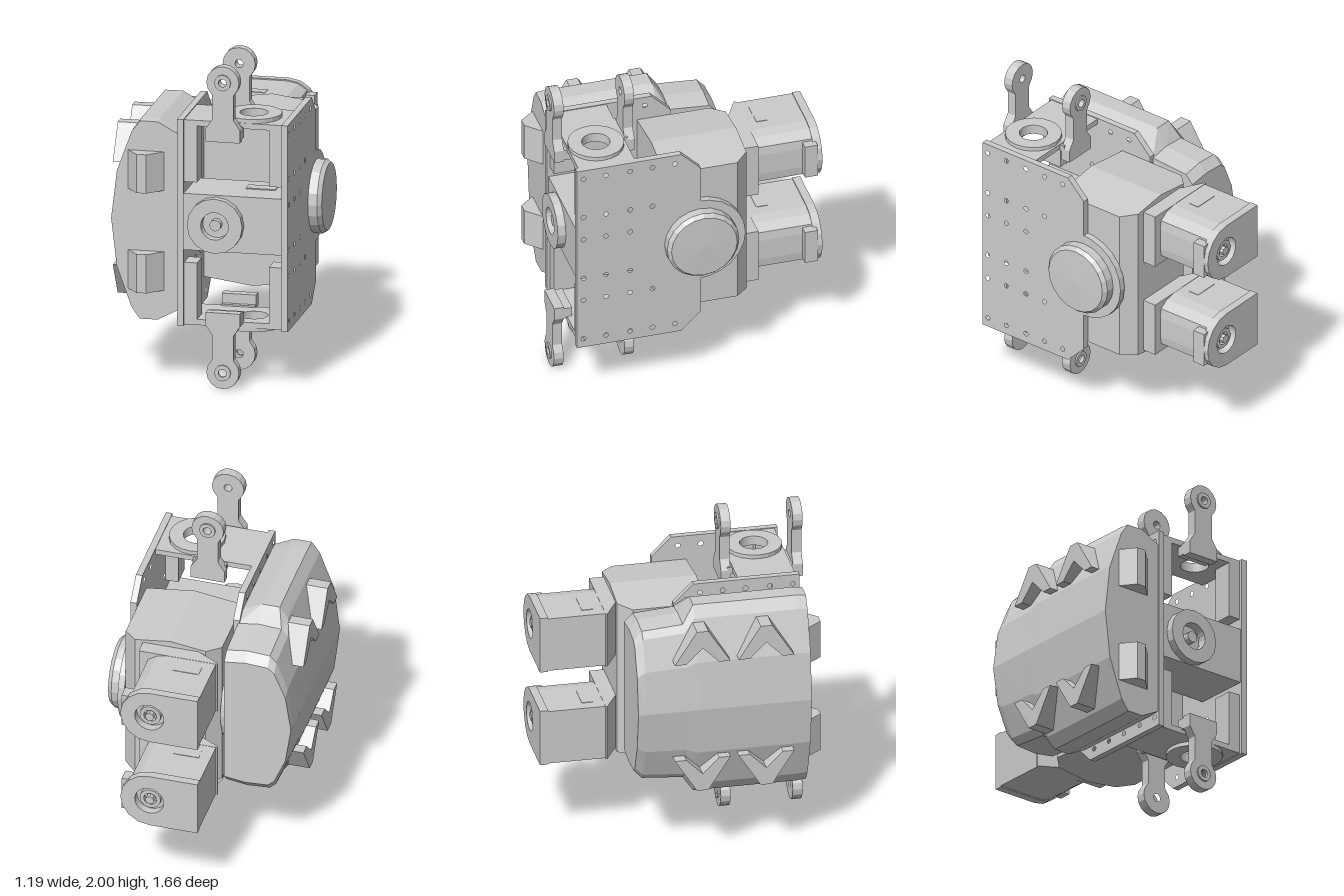
import * as THREE from 'three';

const mat = new THREE.MeshStandardMaterial({ color: 0xcccccc, flatShading: true });
const C = 1; // mid height, the mirror plane of most parts

function add(parent, name, geometry, x = 0, y = 0, z = 0) {
  const m = new THREE.Mesh(geometry, mat);
  m.name = name;
  m.position.set(x, y, z);
  parent.add(m);
  return m;
}

// Box from its limits
function box(parent, name, x0, x1, y0, y1, z0, z1) {
  return add(parent, name, new THREE.BoxGeometry(x1 - x0, y1 - y0, z1 - z0),
    (x0 + x1) / 2, (y0 + y1) / 2, (z0 + z1) / 2);
}

// Extrusion of an outline with round holes [u, v, radius]
function extrude(points, depth, holes = [], sides = 3) {
  const shape = new THREE.Shape(points.map(p => new THREE.Vector2(...p)));
  for (const [u, v, r] of holes) {
    shape.holes.push(new THREE.Path().absarc(u, v, r, 0, Math.PI * 2, true));
  }
  return new THREE.ExtrudeGeometry(shape, { depth, bevelEnabled: false, curveSegments: sides });
}
// Outline in (z, y), thickness from x0 to x1
function extrudeX(points, x0, x1, holes = [], sides = 8) {
  return extrude(points.map(([z, y]) => [-z, y]), x1 - x0, holes.map(([z, y, r]) => [-z, y, r]), sides)
    .rotateY(Math.PI / 2).translate(x0, 0, 0);
}
// Outline in (x, z), thickness from y0 to y1
function extrudeY(points, y0, y1, holes = [], sides = 16) {
  return extrude(points, y1 - y0, holes, sides).rotateX(Math.PI / 2).translate(0, y1, 0);
}
// Outline in (x, y), thickness from z0 to z1
function extrudeZ(points, z0, z1, holes = [], sides = 16) {
  return extrude(points, z1 - z0, holes, sides).translate(0, 0, z0);
}
const arc = (cx, cy, r, a0, a1, n) => Array.from({ length: n + 1 }, (_, i) => {
  const a = a0 + (a1 - a0) * i / n;
  return [cx + r * Math.cos(a), cy + r * Math.sin(a)];
});
const mirrorY = pts => pts.concat([...pts].reverse().filter(p => p[1] !== C).map(([a, b]) => [a, 2 * C - b]));
// Flat ring facing z
const ringZ = (r, hole, z0, z1, n = 16) => extrudeZ(arc(0, 0, r, 0, Math.PI * 2 * (n - 1) / n, n - 1), z0, z1, [[0, 0, hole]], 10);

// Perforated side plates with a rounded rear lobe
function sidePlates(g) {
  const outline = mirrorY([
    [0.75, 1.64], [0.10, 1.64], [-0.02, 1.52], [-0.02, 1.28],
    ...arc(-0.02, C, 0.28, Math.PI * 0.56, Math.PI, 5).map(([a, b], i) => [a, i === 5 ? C : b])]);
  const holes = [];
  const columns = [0.71, 0.57, 0.42, 0.28, 0.14];
  [[0.58, 5], [0.30, 4], [0.14, 3]].forEach(([dy, n]) => {
    for (const s of [-1, 1]) for (const z of columns.slice(0, n)) holes.push([z, C + s * dy, 0.015]);
  });
  add(g, 'leftSidePlate', extrudeX(outline, 0.46, 0.50, holes));
  add(g, 'rightSidePlate', extrudeX(outline, -0.18, -0.14, holes));
  const cap = new THREE.LatheGeometry([[0, -0.02], [0.225, -0.02], [0.225, 0.06], [0.205, 0.085], [0, 0.092]]
    .map(p => new THREE.Vector2(...p)), 20).rotateZ(-Math.PI / 2);
  add(g, 'pivotCap', cap, 0.495, C, -0.02);
}

// Central housing, two halves whose top and bottom slope away from a ridge
function housing(g) {
  for (const s of [-1, 1]) {
    const pts = [[0, 0.19], [0.30, 0.19], [0.30, -0.26], [0.22, -0.34], [0, -0.34]].map(([x, z]) => [0.16 + s * x, z]);
    const geo = extrudeY(pts, 0.5, 1.5);
    const p = geo.attributes.position;
    for (let i = 0; i < p.count; i++) {
      p.setY(i, C + Math.sign(p.getY(i) - C) * (0.525 - 0.04 * Math.abs(p.getX(i) - 0.16) / 0.3));
    }
    geo.computeVertexNormals();
    add(g, s > 0 ? 'leftHousing' : 'rightHousing', geo);
  }
}

// Rear motor: flange, body, and round-nosed end plate with a recessed shaft
function motor(g, y) {
  const m = new THREE.Group();
  m.name = 'rearMotor';
  m.position.y = y;
  const nose = r => [[-0.15, -r], ...arc(0.15, 0, r, -Math.PI / 2, Math.PI / 2, 8), [-0.15, r]];
  const clipped = nose(0.173).map(([x, v]) => [Math.min(x, 0.28), v]);
  add(m, 'flange', extrudeY([[-0.16, -0.43], [0.33, -0.43], [0.33, -0.33], [0, -0.33], [-0.16, -0.42]], -0.175, 0.175));
  add(m, 'motorBody', extrudeZ(clipped, -0.78, -0.43));
  add(m, 'endPlate', extrudeZ(nose(0.18), -0.83, -0.78, [[0.15, 0, 0.09]]));
  box(m, 'endLip', 0.27, 0.33, -0.11, 0.11, -0.80, -0.72);
  add(m, 'endRing', ringZ(0.065, 0.04, -0.81, -0.78), 0.15);
  add(m, 'shaft', new THREE.CylinderGeometry(0.028, 0.028, 0.05, 8).rotateX(Math.PI / 2), 0.15, 0, -0.80);
  box(m, 'connector', -0.08, 0.08, 0.17, 0.176, -0.56, -0.49);
  g.add(m);
}

// Front motor sitting between the plates
function frontMotor(g) {
  const m = new THREE.Group();
  m.name = 'frontMotor';
  add(m, 'casing', extrudeZ([[-0.14, 0.83], [0.46, 0.83], [0.46, 1.18], [-0.14, 1.18]], 0.38, 0.74, [[0.06, C, 0.085]]));
  add(m, 'frontDisc', ringZ(0.17, 0.085, 0.73, 0.79), 0.06, C);
  add(m, 'innerDisc', new THREE.CylinderGeometry(0.088, 0.088, 0.3, 16).rotateX(Math.PI / 2), 0.06, C, 0.58);
  add(m, 'frontShaft', new THREE.CylinderGeometry(0.035, 0.035, 0.05, 12).rotateX(Math.PI / 2), 0.06, C, 0.75);
  box(m, 'connector', 0.2, 0.38, 1.175, 1.186, 0.48, 0.56);
  g.add(m);
}

// Cross plate with bearing ring, corner rails and a pair of arms; s is +1 on top, -1 below
function armMount(g, s) {
  const m = new THREE.Group();
  m.name = s > 0 ? 'upperArmMount' : 'lowerArmMount';
  m.position.y = C;
  const span = (a, b) => s > 0 ? [a, b] : [-b, -a];
  add(m, 'crossPlate', extrudeY([[-0.14, 0.38], [0.46, 0.38], [0.46, 0.73], [-0.14, 0.73]],
    ...span(0.60, 0.635), [[0.25, 0.56, 0.085]]));
  add(m, 'bearingRing', extrudeY(arc(0.25, 0.56, 0.17, 0, Math.PI * 1.9, 19), ...span(0.625, 0.66), [[0.25, 0.56, 0.085]]));
  for (const x of [-0.14, 0.38]) box(m, 'cornerRail', x, x + 0.08, ...span(0.25, 0.61), 0.60, 0.73);
  for (const x of [-0.18, 0.46]) box(m, 'plateCorner', x, x + 0.04, ...span(0.60, 0.64), 0.70, 0.75);

  const half = [[0.105, 0.53], [0.105, 0.61], [0.065, 0.67], [0.065, 0.82],
    ...arc(0, 0.9, 0.1, -Math.PI / 4, Math.PI / 2, 6).slice(0, 6)];
  const outline = [...half, [0, 1], ...[...half].reverse().map(([x, y]) => [-x, y])].map(([x, y]) => [0.115 + x, s * y]);
  for (const [z, out] of [[0.75, 1], [0.31, -1]]) {
    add(m, 'arm', extrudeZ(outline, z, z + 0.06, [[0.115, s * 0.9, 0.025]]));
    const zb = out > 0 ? z + 0.05 : z - 0.01;
    add(m, 'armBoss', ringZ(0.05, 0.025, zb, zb + 0.02, 12), 0.115, s * 0.9);
  }
  box(m, 'frontArmBase', 0.01, 0.22, ...span(0.54, 0.61), 0.70, 0.76);
  box(m, 'rearArmBase', 0.01, 0.22, ...span(0.59, 0.63), 0.35, 0.40);
  g.add(m);
}

// Armoured shell lofted along z from a faceted cross-section
function shell(g) {
  const front = [[-0.17, 0.55], [-0.30, 0.62], [-0.41, 0.62], [-0.46, 0.55], [-0.55, 0.30], [-0.585, 0]];
  const rear = [[-0.17, 0.49], [-0.30, 0.51], [-0.44, 0.50], [-0.48, 0.46], [-0.55, 0.27], [-0.585, 0]];
  const stations = [[rear, -0.32, 0.87], [rear, -0.27, 0.98], [rear, -0.02, 1.02], [front, 0.05, 1], [front, 0.68, 1], [front, 0.74, 0.99]];
  const pos = [], idx = [];
  const n = front.length * 2 - 1;
  for (const [profile, z, k] of stations) {
    const ring = mirrorY(profile.map(([x, y]) => [x, C + y * k]));
    ring.forEach(([x, y]) => pos.push(x, y, z));
  }
  for (let j = 0; j < stations.length - 1; j++) for (let i = 0; i < n; i++) {
    const a = j * n + i, b = j * n + (i + 1) % n;
    idx.push(a, b, b + n, a, b + n, a + n);
  }
  const last = (stations.length - 1) * n, c0 = pos.length / 3;
  pos.push(-0.36, C, -0.32, -0.36, C, 0.74);
  for (let i = 0; i < n; i++) {
    const k = (i + 1) % n;
    idx.push(c0, k, i, c0 + 1, last + i, last + k);
  }
  const geo = new THREE.BufferGeometry();
  geo.setAttribute('position', new THREE.Float32BufferAttribute(pos, 3));
  geo.setIndex(idx);
  geo.computeVertexNormals();
  add(g, 'armourShell', geo);

  for (const s of [-1, 1]) {
    // Tooth-like ridges on the outer face
    for (const z of [0.07, 0.46]) {
      const tooth = [[-0.17, 0.32], [-0.035, 0.53], [0.035, 0.53], [0.17, 0.32], [0.10, 0.32], [0, 0.42], [-0.10, 0.32]];
      add(g, 'shellRidge', extrudeX(tooth.map(([u, v]) => [z + u, C + s * v]), -0.60, -0.42));
    }
    // Wedge blocks on the front edge
    const y = C + s * 0.31;
    add(g, 'frontWedge', extrudeY([[-0.48, 0.72], [-0.48, 0.74], [-0.41, 0.83], [-0.35, 0.83], [-0.26, 0.74], [-0.26, 0.72]], y - 0.12, y + 0.12));
  }
}

export function createModel() {
  const g = new THREE.Group();
  g.name = 'mechanicalJoint';
  sidePlates(g);
  housing(g);
  for (const y of [0.69, 1.31]) motor(g, y);
  frontMotor(g);
  for (const s of [1, -1]) armMount(g, s);
  shell(g);
  return g;
}
